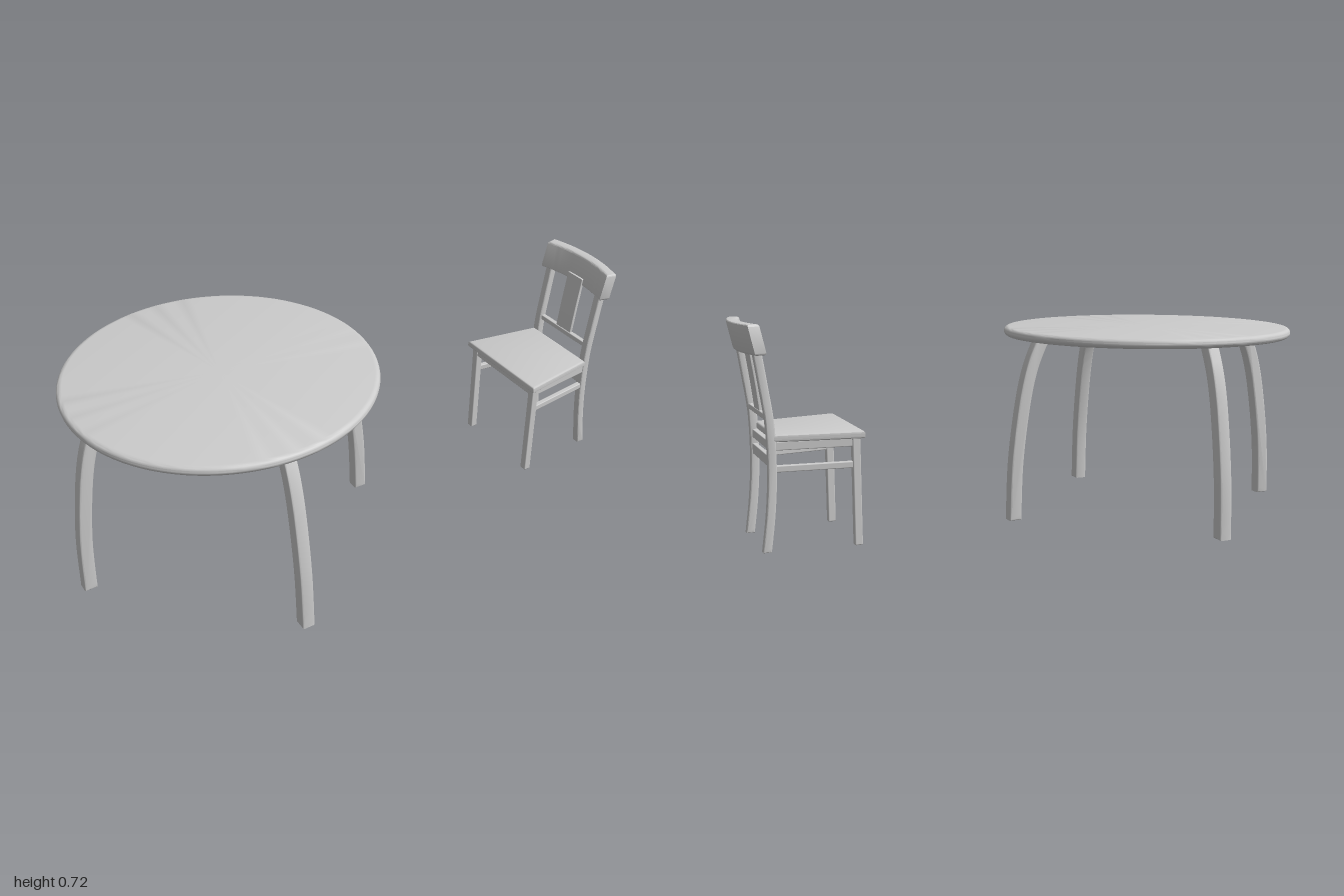
import * as THREE from 'three';
import { toCreasedNormals } from 'three/addons/utils/BufferGeometryUtils.js';
import { RoundedBoxGeometry } from 'three/addons/geometries/RoundedBoxGeometry.js';

const material = new THREE.MeshStandardMaterial({ color: 0xcccccc });

function add(parent, name, geometry, x = 0, y = 0, z = 0) {
  const mesh = new THREE.Mesh(geometry, material);
  mesh.name = name;
  mesh.position.set(x, y, z);
  parent.add(mesh);
  return mesh;
}

// Extrusion with rounded edges that keeps the outline's size, centred on z = 0
function slab(shape, depth, bevel) {
  return new THREE.ExtrudeGeometry(shape, {
    depth: depth - 2 * bevel, bevelEnabled: true, bevelThickness: bevel,
    bevelSize: bevel, bevelOffset: -bevel, bevelSegments: 3, curveSegments: 12,
  }).translate(0, 0, bevel - depth / 2);
}

// Closed outline running a constant width around a smooth centre line
function ribbon(points, width, steps = 16, flatEnds = true) {
  const curve = new THREE.SplineCurve(points.map(p => new THREE.Vector2(...p)));
  const left = [], right = [];
  for (let i = 0; i <= steps; i++) {
    const p = curve.getPoint(i / steps), t = curve.getTangent(i / steps);
    const n = flatEnds && (i === 0 || i === steps)
      ? new THREE.Vector2(1, 0) : new THREE.Vector2(t.y, -t.x);
    right.push(p.clone().addScaledVector(n, width / 2));
    left.unshift(p.clone().addScaledVector(n, -width / 2));
  }
  return new THREE.Shape([...right, ...left]);
}

// Straight bar between two points, with given height and thickness
function bar(parent, name, a, b, height, thickness) {
  const from = new THREE.Vector3(...a), to = new THREE.Vector3(...b);
  const geometry = new RoundedBoxGeometry(thickness, height, from.distanceTo(to), 2, 0.003);
  const mesh = add(parent, name, geometry);
  mesh.position.copy(from).add(to).multiplyScalar(0.5);
  mesh.rotation.y = Math.atan2(to.x - from.x, to.z - from.z);
}

function createTable() {
  const table = new THREE.Group();
  table.name = 'table';

  // Round top with a soft edge
  const profile = [new THREE.Vector2(0, 0.627), new THREE.Vector2(0.49, 0.627)];
  for (let i = 1; i < 8; i++) {
    const a = -Math.PI / 2 + (i / 8) * Math.PI;
    profile.push(new THREE.Vector2(0.492 + 0.016 * Math.cos(a), 0.643 + 0.016 * Math.sin(a)));
  }
  profile.push(new THREE.Vector2(0.49, 0.659), new THREE.Vector2(0, 0.659));
  add(table, 'tableTop', toCreasedNormals(new THREE.LatheGeometry(profile, 96), 0.6));

  // Four bowed legs with small mounting plates
  const outline = ribbon([[0.519, 0], [0.511, 0.2], [0.485, 0.4], [0.455, 0.53], [0.413, 0.63]], 0.044, 24);
  const legGeometry = toCreasedNormals(slab(outline, 0.044, 0.006), 0.6);
  for (let i = 0; i < 4; i++) {
    const leg = new THREE.Group();
    leg.name = 'tableLeg';
    leg.rotation.y = (i * Math.PI) / 2;
    add(leg, 'bowedPost', legGeometry);
    add(leg, 'mountingPlate', new THREE.BoxGeometry(0.06, 0.006, 0.044), 0.4, 0.626, 0);
    table.add(leg);
  }
  return table;
}

function createChair() {
  const chair = new THREE.Group();
  chair.name = 'chair';

  // Tapered seat
  const seat = new THREE.Shape([[0.62, -0.192], [0.9, -0.146], [0.9, 0.146], [0.62, 0.192]]
    .map(p => new THREE.Vector2(...p)));
  const seatGeometry = slab(seat, 0.025, 0.009).rotateX(Math.PI / 2);
  add(chair, 'seat', toCreasedNormals(seatGeometry, 0.6), 0, 0.3625, 0);

  // Legs, the rear pair continuing up as the back posts
  const post = ribbon([[0.932, 0], [0.916, 0.12], [0.907, 0.25], [0.909, 0.4], [0.924, 0.52], [0.943, 0.65]], 0.027, 24);
  const postGeometry = toCreasedNormals(slab(post, 0.027, 0.004), 0.6);
  for (const s of [-1, 1]) {
    add(chair, 'frontLeg', new RoundedBoxGeometry(0.026, 0.352, 0.026, 2, 0.004), 0.645, 0.176, s * 0.164);
    add(chair, 'backPost', postGeometry, 0, 0, s * 0.1315);
    bar(chair, 'sideApron', [0.645, 0.338, s * 0.164], [0.908, 0.338, s * 0.1315], 0.028, 0.018);
    bar(chair, 'sideStretcher', [0.645, 0.265, s * 0.164], [0.908, 0.265, s * 0.1315], 0.021, 0.018);
  }

  // Cross rails
  bar(chair, 'frontApron', [0.645, 0.338, -0.164], [0.645, 0.338, 0.164], 0.028, 0.018);
  bar(chair, 'backApron', [0.905, 0.338, -0.13], [0.905, 0.338, 0.13], 0.028, 0.018);
  bar(chair, 'backStretcher', [0.907, 0.287, -0.13], [0.907, 0.287, 0.13], 0.035, 0.016);
  bar(chair, 'lowerBackRail', [0.914, 0.429, -0.13], [0.914, 0.429, 0.13], 0.018, 0.018);

  // Central splat
  const splat = ribbon([[0.914, 0.43], [0.926, 0.53], [0.943, 0.65]], 0.012, 12);
  add(chair, 'backSplat', toCreasedNormals(slab(splat, 0.076, 0.002), 0.6));

  // Curved head rail, leaning back with height
  const arc = ribbon([[0.931, -0.163], [0.95, -0.085], [0.957, 0], [0.95, 0.085], [0.931, 0.163]], 0.038, 24, false);
  const head = slab(arc, 0.096, 0.007).rotateX(Math.PI / 2);
  const position = head.attributes.position;
  for (let i = 0; i < position.count; i++) {
    position.setX(i, position.getX(i) + position.getY(i) * 0.22);
  }
  add(chair, 'headRail', toCreasedNormals(head, 0.6), 0.012, 0.673, 0);
  return chair;
}

export function createModel() {
  const model = new THREE.Group();
  model.name = 'diningSet';
  const table = createTable();
  table.position.x = -0.459;
  const chair = createChair();
  chair.position.z = 0.081;
  model.add(table, chair);
  return model;
}
